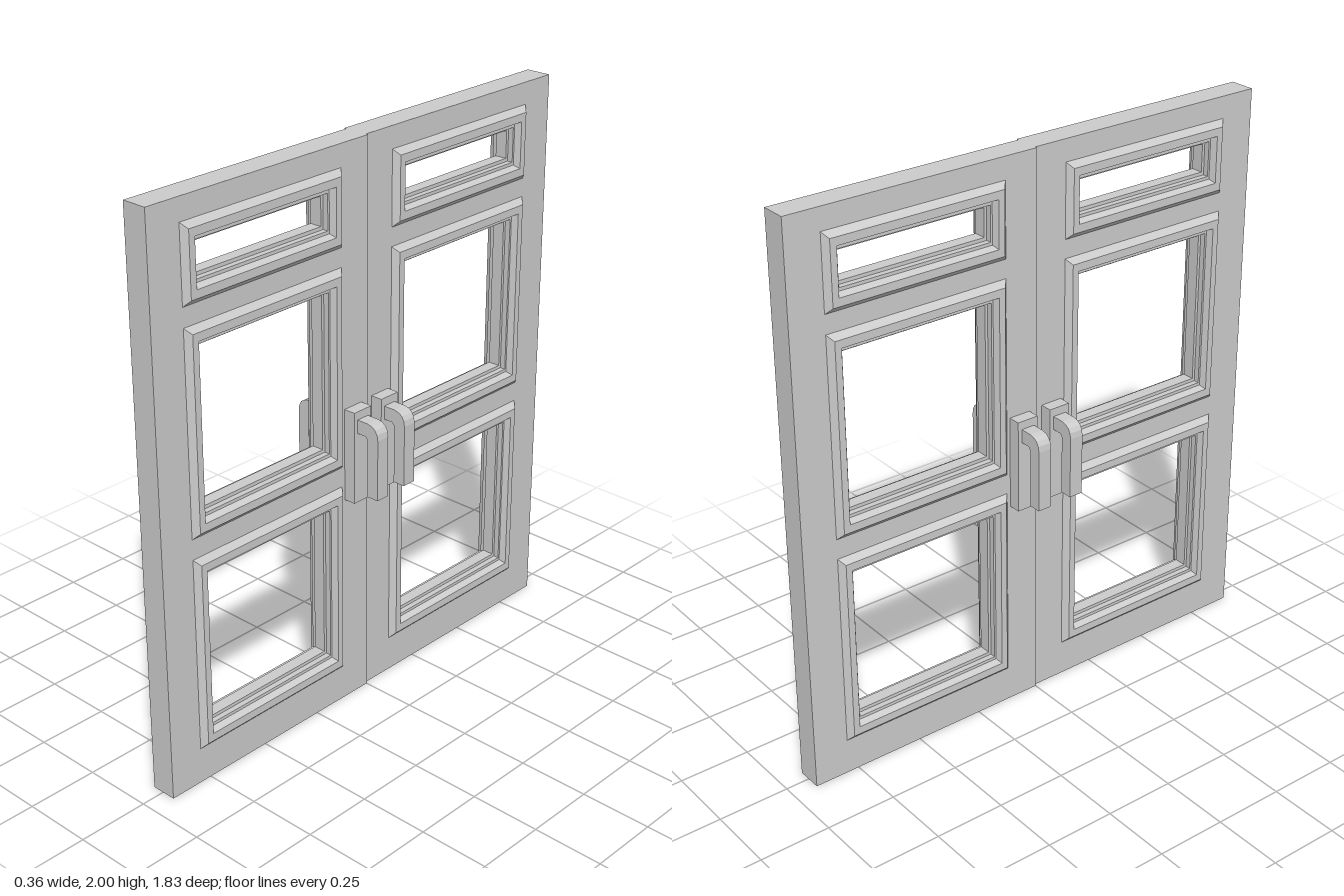
import * as THREE from 'three';

const W = 0.915, H = 2, T = 0.091; // leaf width, height, thickness
const material = new THREE.MeshStandardMaterial({ color: 0xcccccc, flatShading: true });

// Window outlines on a leaf: [x0, x1, y0, y1]
const windows = [
  [0.122, 0.79, 0.128, 0.825],
  [0.122, 0.79, 0.896, 1.597],
  [0.122, 0.79, 1.663, 1.923],
];

// Moulding section, outside to opening: [horizontal inset, vertical inset, depth]
const section = [
  [0, 0, 0.0455],
  [0.018, 0.02, 0.065],
  [0.041, 0.048, 0.065],
  [0.049, 0.058, 0.042],
  [0.056, 0.069, 0.042],
  [0.056, 0.069, 0.022],
  [0.066, 0.081, 0.022],
];

function add(parent, name, geometry) {
  const mesh = new THREE.Mesh(geometry, material);
  mesh.name = name;
  parent.add(mesh);
  return mesh;
}

// Mitred moulding: nested rectangles from the front face, through the opening, to the back
function mouldingGeometry([x0, x1, y0, y1]) {
  const profile = [...section, ...[...section].reverse().map(([h, v, d]) => [h, v, -d])];
  const rings = profile.map(([h, v, d]) => [
    [x0 + h, y0 + v, d], [x1 - h, y0 + v, d], [x1 - h, y1 - v, d], [x0 + h, y1 - v, d],
  ]);
  const pos = [];
  for (let r = 0; r < rings.length - 1; r++) {
    for (let i = 0; i < 4; i++) {
      const j = (i + 1) % 4, a = rings[r], b = rings[r + 1];
      pos.push(...a[i], ...a[j], ...b[j], ...a[i], ...b[j], ...b[i]);
    }
  }
  const g = new THREE.BufferGeometry();
  g.setAttribute('position', new THREE.Float32BufferAttribute(pos, 3));
  g.computeVertexNormals();
  return g;
}

// Door slab with a hole behind each moulding
function slabGeometry() {
  const rect = (Type, x0, x1, y0, y1) => new Type([
    new THREE.Vector2(x0, y0), new THREE.Vector2(x1, y0),
    new THREE.Vector2(x1, y1), new THREE.Vector2(x0, y1),
  ]);
  const shape = rect(THREE.Shape, 0, W, 0, H);
  const e = 0.01;
  for (const [x0, x1, y0, y1] of windows) {
    shape.holes.push(rect(THREE.Path, x0 + e, x1 - e, y0 + e, y1 - e));
  }
  return new THREE.ExtrudeGeometry(shape, { depth: T, bevelEnabled: false }).translate(0, 0, -T / 2);
}

// Hooked pull: short arm at the top, rounded corner, bar hanging down
function pullGeometry() {
  const s = new THREE.Shape();
  s.moveTo(0.08, 1.025);
  s.lineTo(0.124, 1.025);
  s.lineTo(0.133, 1.015);
  s.lineTo(0.133, 0.808);
  s.lineTo(0.178, 0.808);
  s.lineTo(0.178, 1.025);
  s.quadraticCurveTo(0.176, 1.07, 0.133, 1.073);
  s.lineTo(0.08, 1.073);
  const w = 0.05;
  return new THREE.ExtrudeGeometry(s, { depth: w, bevelEnabled: false, curveSegments: 4 })
    .translate(0, 0, -w / 2);
}

function createLeaf(name) {
  const leaf = new THREE.Group();
  leaf.name = name;
  add(leaf, 'slab', slabGeometry());
  windows.forEach((w, i) => {
    add(leaf, ['lowerWindowFrame', 'middleWindowFrame', 'upperWindowFrame'][i], mouldingGeometry(w));
  });

  // Handle on both faces
  for (const side of [1, -1]) {
    const handle = new THREE.Group();
    handle.name = side > 0 ? 'handleA' : 'handleB';
    handle.position.x = 0.069;
    const plate = add(handle, 'handlePlate', new THREE.BoxGeometry(0.08, 0.33, 0.048));
    plate.position.set(0, 0.937, side * 0.065);
    const pull = add(handle, 'handlePull', pullGeometry());
    pull.rotation.y = -side * Math.PI / 2;
    leaf.add(handle);
  }
  return leaf;
}

export function createModel() {
  const model = new THREE.Group();
  model.name = 'doubleDoor';
  // The second leaf is the first turned half round, slightly out of line
  for (const side of [1, -1]) {
    const leaf = createLeaf(side > 0 ? 'frontLeaf' : 'backLeaf');
    leaf.rotation.y = -side * Math.PI / 2;
    leaf.position.x = side * 0.004;
    model.add(leaf);
  }
  return model;
}
